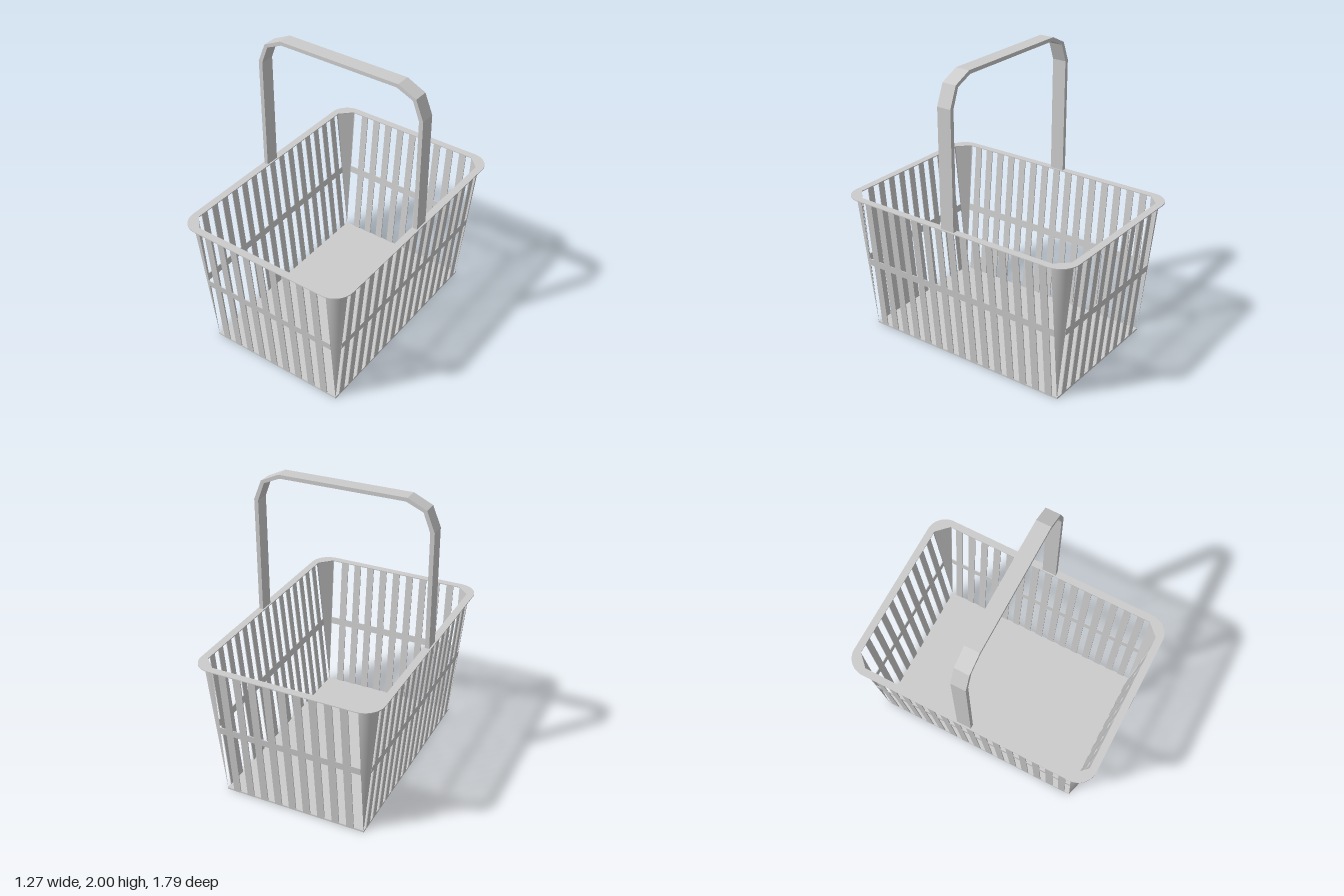
import * as THREE from 'three';

const material = new THREE.MeshStandardMaterial({ color: 0xcccccc, side: THREE.DoubleSide });

// Basket floor half sizes, how far each wall leans out over its height, sheet thickness
const HX = 0.5, HZ = 0.76, LEAN = 0.095, T = 0.006;

function add(parent, geometry, name) {
  const mesh = new THREE.Mesh(geometry, material);
  mesh.name = name;
  parent.add(mesh);
  return mesh;
}

// Upright strip leaning outward (+z) as it rises
function leaningStrip(width, y0, y1, x) {
  const g = new THREE.BoxGeometry(width, y1 - y0, T).translate(x, (y0 + y1) / 2, 0);
  const p = g.attributes.position;
  for (let i = 0; i < p.count; i++) p.setZ(i, p.getZ(i) + LEAN * p.getY(i));
  g.computeVertexNormals();
  return g;
}

// One wall facing +z: evenly spaced slats and a middle band
function createWall(name, halfWidth, count, pitch, shift) {
  const wall = new THREE.Group();
  wall.name = name;
  for (let i = 0; i < count; i++) {
    const x = (i - (count - 1) / 2) * pitch + shift;
    add(wall, leaningStrip(0.052, 0, 1, x), 'slat');
  }
  add(wall, leaningStrip(halfWidth * 2, 0.485, 0.535, 0), 'middleBand');
  return wall;
}

// Surface from the floor corner up to a list of [x, z] points at the rim
function cornerFan(points) {
  const positions = [], index = [];
  points.forEach(([x, z]) => positions.push(x, 1, z));
  positions.push(HX, 0, HZ);
  for (let i = 0; i < points.length - 1; i++) index.push(points.length, i + 1, i);
  const g = new THREE.BufferGeometry();
  g.setAttribute('position', new THREE.Float32BufferAttribute(positions, 3));
  g.setIndex(index);
  g.computeVertexNormals();
  return g;
}

function createRim() {
  const x = 0.633, z = 0.893, r = 0.133;
  const shape = new THREE.Shape();
  shape.moveTo(x, -z + r);
  shape.absarc(x - r, z - r, r, 0, Math.PI / 2);
  shape.absarc(-x + r, z - r, r, Math.PI / 2, Math.PI);
  shape.absarc(-x + r, -z + r, r, Math.PI, Math.PI * 1.5);
  shape.absarc(x - r, -z + r, r, Math.PI * 1.5, Math.PI * 2);
  // Opening with cut corners
  const a = 0.583, b = 0.843;
  const hole = [[a, HZ], [HX, b], [-HX, b], [-a, HZ], [-a, -HZ], [-HX, -b], [HX, -b], [a, -HZ]];
  shape.holes.push(new THREE.Path(hole.map(([u, v]) => new THREE.Vector2(u, v))));
  return new THREE.ExtrudeGeometry(shape, { depth: T, bevelEnabled: false, curveSegments: 8 })
    .rotateX(-Math.PI / 2).translate(0, 1 - T / 2, 0);
}

function createHandle() {
  const outer = [[0.622, 1], [0.622, 1.805], [0.567, 1.94], [0.44, 2]];
  const inner = [[0.593, 1], [0.593, 1.8], [0.545, 1.925], [0.43, 1.975]];
  const mirror = (pts) => pts.map(([x, y]) => [-x, y]).reverse();
  const outline = [...outer, ...mirror(outer), ...inner.map(([x, y]) => [-x, y]), ...[...inner].reverse()];
  const shape = new THREE.Shape(outline.map(([x, y]) => new THREE.Vector2(x, y)));
  return new THREE.ExtrudeGeometry(shape, { depth: 0.1, bevelEnabled: false }).translate(0, 0, -0.05);
}

export function createModel() {
  const basket = new THREE.Group();
  basket.name = 'basket';

  add(basket, new THREE.BoxGeometry(HX * 2 + T, 0.012, HZ * 2 + T).translate(0, 0.006, 0), 'floor');

  // Four slatted walls
  const walls = [
    ['frontWall', HX, 9, 0.104, -0.01, 0],
    ['backWall', HX, 9, 0.104, -0.01, Math.PI],
    ['leftWall', HZ, 15, 0.0995, 0, Math.PI / 2],
    ['rightWall', HZ, 15, 0.0995, 0, -Math.PI / 2],
  ];
  for (const [name, half, count, pitch, shift, angle] of walls) {
    const wall = createWall(name, half, count, pitch, shift);
    const distance = half === HX ? HZ : HX;
    wall.rotation.y = angle;
    wall.position.set(Math.sin(angle) * distance, 0, Math.cos(angle) * distance);
    basket.add(wall);
  }

  // Corner posts: rounded outside, flat inside, tapering to the floor
  const arc = [];
  for (let i = 0; i <= 8; i++) {
    const a = (i / 8) * Math.PI / 2;
    arc.push([HX + 0.097 * Math.cos(a), HZ + 0.097 * Math.sin(a)]);
  }
  const outside = cornerFan(arc);
  const inside = cornerFan([[HX, HZ + 0.086], [HX + 0.086, HZ]]);
  for (const sx of [1, -1]) {
    for (const sz of [1, -1]) {
      const corner = new THREE.Group();
      corner.name = 'cornerPost';
      corner.scale.set(sx, 1, sz);
      add(corner, outside, 'cornerOutside');
      add(corner, inside, 'cornerInside');
      basket.add(corner);
    }
  }

  add(basket, createRim(), 'rim');
  add(basket, createHandle(), 'handle');
  return basket;
}
